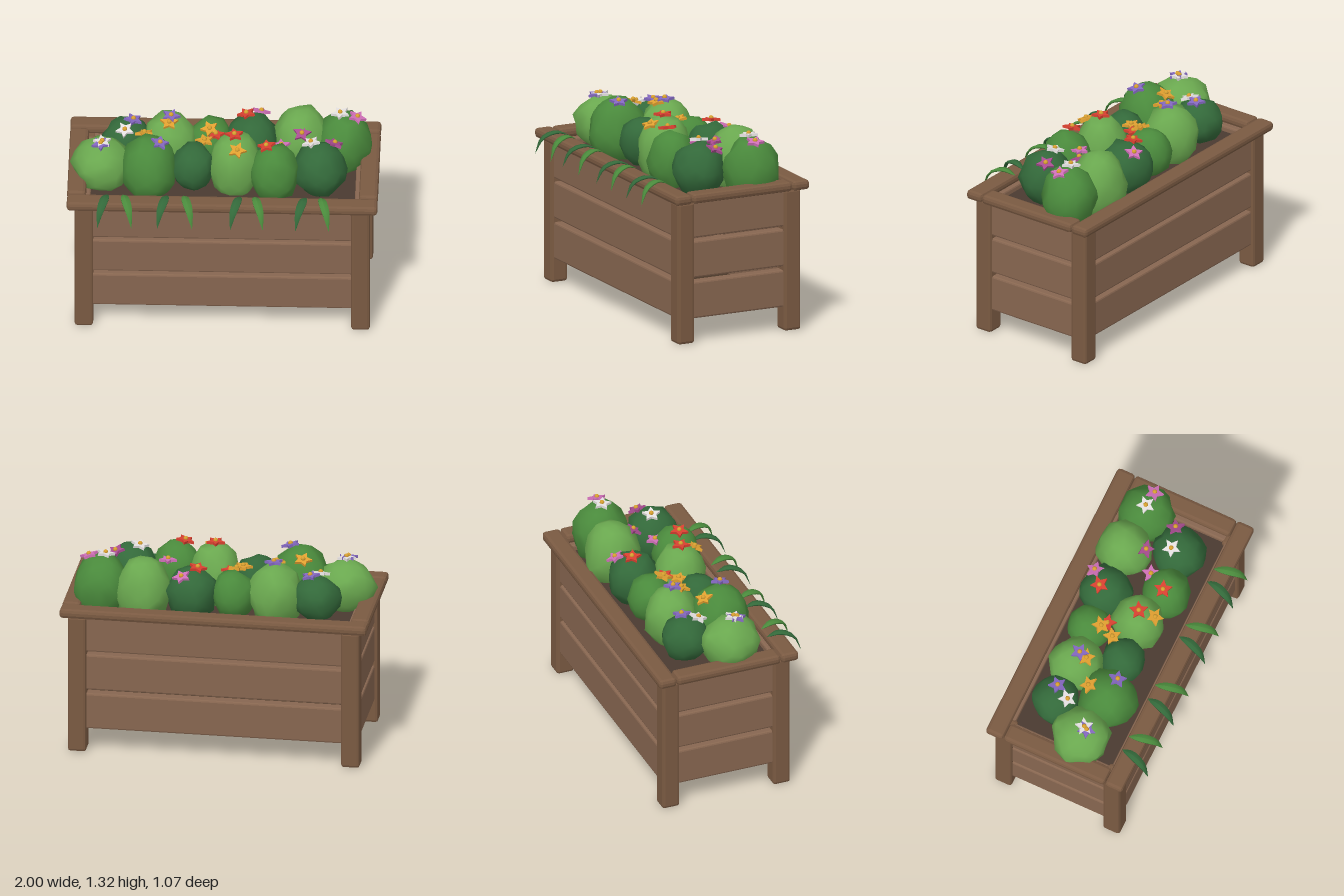
import * as THREE from 'three';
import { RoundedBoxGeometry } from 'three/addons/geometries/RoundedBoxGeometry.js';
import { mergeVertices } from 'three/addons/utils/BufferGeometryUtils.js';

const ZC = -0.045; // depth centre of the wooden box

const mat = (color, extra = {}) => new THREE.MeshStandardMaterial({ color, ...extra });
const wood = mat(0x7a5a42, { flatShading: true });
const plankWood = mat(0x876650, { flatShading: true });
const darkWood = mat(0x4a3829);
const soilMat = mat(0x4a3a30);
const greens = [mat(0x6aa84f), mat(0x4a8a3c), mat(0x33693a)]; // light, mid, dark
const petals = {
  purple: mat(0x8468c0), white: mat(0xe4e0e0), orange: mat(0xe0a030),
  red: mat(0xd84030), pink: mat(0xd070b8), magenta: mat(0xa84c90),
};
const pollen = mat(0xd8a030);

function seeded(seed) {
  return () => (seed = (seed * 16807) % 2147483647) / 2147483647;
}

function add(parent, name, geometry, material, x = 0, y = 0, z = 0) {
  const mesh = new THREE.Mesh(geometry, material);
  mesh.name = name;
  mesh.position.set(x, y, z);
  parent.add(mesh);
  return mesh;
}

// box with chamfered edges
const beam = (w, h, d, r) => new RoundedBoxGeometry(w, h, d, 1, r);

// lumpy ball of foliage
function bushGeometry(rand) {
  let g = new THREE.IcosahedronGeometry(1, 2);
  g.deleteAttribute('normal');
  g.deleteAttribute('uv');
  g = mergeVertices(g, 1e-3);
  const p = g.attributes.position;
  for (let i = 0; i < p.count; i++) {
    const k = 0.92 + 0.16 * rand();
    p.setXYZ(i, p.getX(i) * k, p.getY(i) * k, p.getZ(i) * k);
  }
  g.computeVertexNormals();
  return g;
}

// flat five-pointed blossom facing +y
function blossomGeometry() {
  const s = new THREE.Shape();
  for (let i = 0; i < 10; i++) {
    const r = i % 2 ? 0.031 : 0.062, a = (i * Math.PI) / 5;
    s[i ? 'lineTo' : 'moveTo'](r * Math.cos(a), r * Math.sin(a));
  }
  s.closePath();
  return new THREE.ExtrudeGeometry(s, { depth: 0.018, bevelEnabled: false }).rotateX(-Math.PI / 2);
}

// pointed leaf that arches over the rim and droops; lean shifts the tip sideways
function leafGeometry(lean) {
  const path = new THREE.CatmullRomCurve3([
    new THREE.Vector3(0, 0.995, 0.32), new THREE.Vector3(lean * 0.25, 1.022, 0.40),
    new THREE.Vector3(lean * 0.7, 0.985, 0.49), new THREE.Vector3(lean, 0.88, 0.535),
  ]);
  const g = new THREE.CylinderGeometry(1, 1, 1, 6, 8);
  const p = g.attributes.position, v = new THREE.Vector3();
  const side = new THREE.Vector3(1, 0, -lean * 2).normalize();
  for (let i = 0; i < p.count; i++) {
    const t = 0.5 - p.getY(i);
    const w = 0.002 + Math.sin(Math.PI * Math.pow(t, 0.85));
    const up = path.getTangent(t).cross(side).negate().normalize();
    v.copy(path.getPoint(t))
      .addScaledVector(side, p.getX(i) * w * 0.032)
      .addScaledVector(up, -p.getZ(i) * w * 0.01);
    p.setXYZ(i, v.x, v.y, v.z);
  }
  g.computeVertexNormals();
  return g;
}

function buildBox() {
  const box = new THREE.Group();
  box.name = 'planterBox';
  box.position.z = ZC;

  // corner posts
  for (const sx of [-1, 1]) for (const sz of [-1, 1])
    add(box, 'cornerPost', beam(0.12, 0.94, 0.12, 0.018), wood, sx * 0.89, 0.47, sz * 0.385);

  // three planks on each side, with open gaps between
  for (const y of [0.28, 0.55, 0.815]) for (const s of [-1, 1]) {
    add(box, 'longPlank', beam(1.7, 0.244, 0.08, 0.012), plankWood, 0, y, s * 0.385);
    add(box, 'endPlank', beam(0.08, 0.244, 0.7, 0.012), plankWood, s * 0.89, y, 0);
  }

  // top rim
  for (const s of [-1, 1]) {
    add(box, 'longRail', beam(2, 0.063, 0.122, 0.022), wood, 0, 0.9685, s * 0.424);
    add(box, 'endRail', beam(0.122, 0.063, 0.72, 0.022), wood, s * 0.939, 0.9685, 0);
  }

  // floor and soil
  add(box, 'floor', new THREE.BoxGeometry(1.78, 0.03, 0.77), darkWood, 0, 0.175, 0);
  add(box, 'soil', new THREE.BoxGeometry(1.72, 0.16, 0.7), soilMat, 0, 0.82, 0);
  return box;
}

// x, z, radius, top height, shade
const BUSHES = [
  [-0.785, 0.05, 0.19, 1.22, 0], [-0.48, 0.1, 0.19, 1.28, 1], [-0.2, 0.07, 0.14, 1.21, 2],
  [0.075, 0.05, 0.17, 1.28, 0], [0.33, 0.13, 0.155, 1.26, 1], [0.62, 0.08, 0.17, 1.24, 2],
  [-0.63, -0.2, 0.155, 1.2, 2], [-0.36, -0.19, 0.175, 1.26, 0], [-0.09, -0.22, 0.145, 1.21, 1],
  [0.18, -0.23, 0.17, 1.23, 2], [0.5, -0.25, 0.18, 1.28, 0], [0.77, -0.22, 0.18, 1.27, 1],
].map(([x, z, r, top, shade]) => ({ x, z, r, y: 1.05, ry: top - 1.05, shade }));

// colour, x, z
const FLOWERS = [
  ['purple', -0.59, -0.21], ['white', -0.64, -0.12], ['purple', -0.79, 0.09], ['white', -0.78, 0.07],
  ['orange', -0.51, -0.02], ['purple', -0.41, 0.13], ['purple', -0.345, -0.17], ['orange', -0.355, -0.12],
  ['orange', -0.095, -0.14], ['orange', -0.125, -0.04], ['red', -0.055, -0.11], ['red', 0.07, 0.055],
  ['orange', 0.09, 0.155], ['red', 0.28, 0.13], ['red', 0.14, -0.255], ['pink', 0.23, -0.33],
  ['pink', 0.37, 0], ['magenta', 0.5, -0.105], ['white', 0.565, 0.055], ['magenta', 0.71, 0.015],
  ['white', 0.745, -0.215], ['pink', 0.85, -0.205],
];

function buildPlants() {
  const plants = new THREE.Group();
  plants.name = 'plants';
  const rand = seeded(77);

  for (const b of BUSHES) {
    const bush = add(plants, 'bush', bushGeometry(rand), greens[b.shade], b.x, b.y, b.z);
    bush.scale.set(b.r, b.ry, b.r);
    bush.rotation.y = rand() * 6;
  }

  // flowers sit on whichever bush is highest below them
  const star = blossomGeometry();
  const eye = new THREE.SphereGeometry(0.016, 8, 6);
  const up = new THREE.Vector3(0, 1, 0);
  for (const [color, x, z] of FLOWERS) {
    let y = 1.16;
    const n = new THREE.Vector3(0, 1, 0);
    for (const b of BUSHES) {
      const dx = (x - b.x) / b.r, dz = (z - b.z) / b.r, q = 1 - dx * dx - dz * dz;
      const h = q > 0 ? b.y + b.ry * Math.sqrt(q) : 0;
      if (h > y) {
        y = h;
        n.set(dx * 0.6, 1, dz * 0.6).normalize();
      }
    }
    const flower = new THREE.Group();
    flower.name = 'flower';
    flower.position.set(x, y + 0.004, z);
    flower.quaternion.setFromUnitVectors(up, n);
    flower.rotateY(rand() * 6);
    add(flower, 'petals', star, petals[color]);
    add(flower, 'flowerCentre', eye, pollen, 0, 0.02, 0);
    plants.add(flower);
  }

  // pairs of leaves hanging over the front rim
  [[-0.74, -0.64], [-0.355, -0.25], [0.115, 0.205], [0.535, 0.63]].forEach(pair =>
    pair.forEach((x, i) =>
      add(plants, 'hangingLeaf', leafGeometry(i ? 0.06 : -0.06), greens[i ? 1 : 2], x)));
  return plants;
}

export function createModel() {
  const model = new THREE.Group();
  model.name = 'flowerPlanter';
  model.add(buildBox(), buildPlants());
  return model;
}
